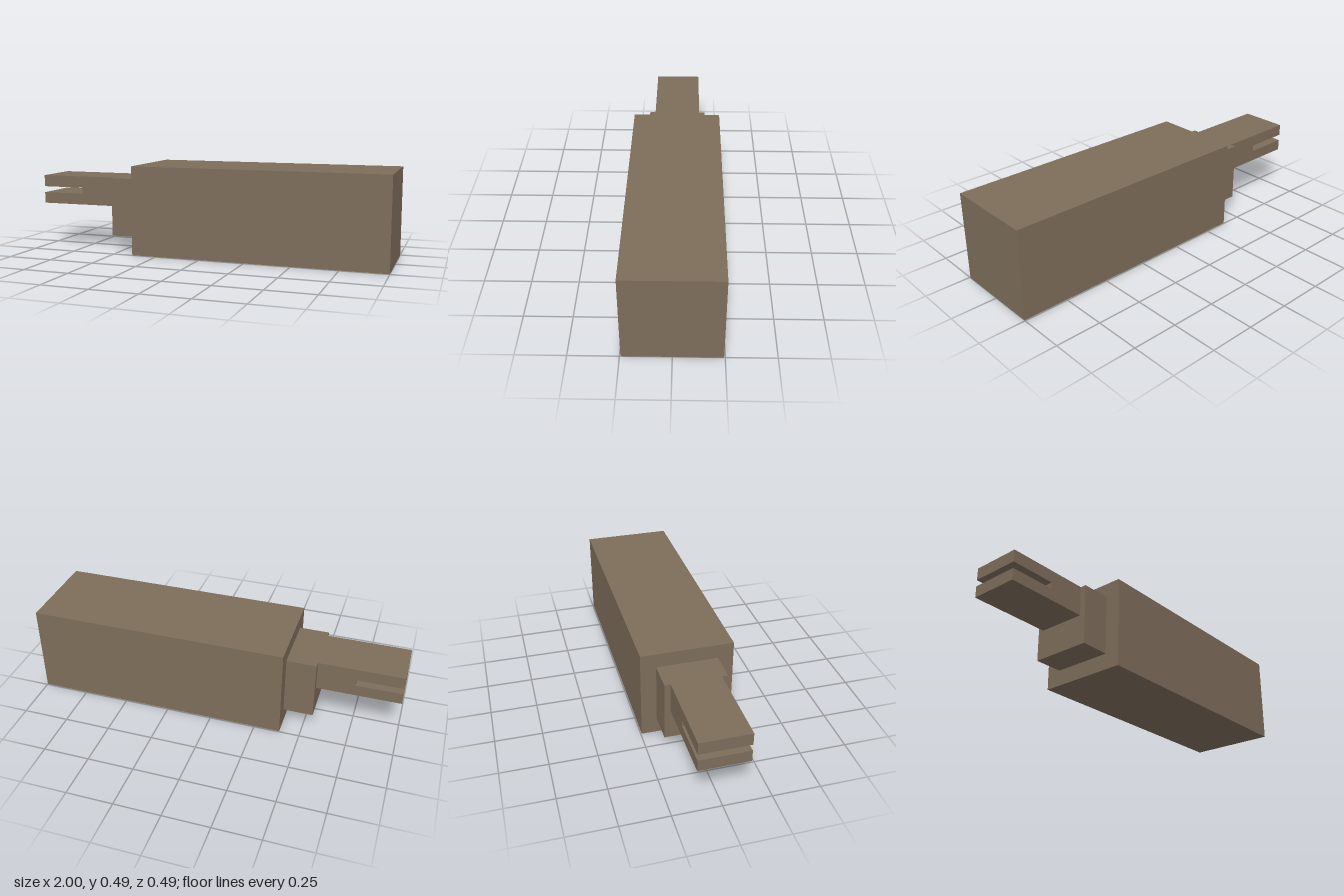
import * as THREE from 'three';

export function createModel() {
  const group = new THREE.Group();
  const brown = new THREE.MeshStandardMaterial({ color: 0x7d6d5a });
  brown.name = 'taupe brown';

  // Extrudes a side outline (x, y) to a width centred on z = 0
  const block = (name, points, width) => {
    const shape = new THREE.Shape(points.map(([x, y]) => new THREE.Vector2(x, y)));
    const geometry = new THREE.ExtrudeGeometry(shape, { depth: width, bevelEnabled: false });
    geometry.translate(0, 0, -width / 2);
    const mesh = new THREE.Mesh(geometry, brown);
    mesh.name = name;
    group.add(mesh);
  };
  const rect = (x0, x1, y0, y1) => [[x0, y0], [x1, y0], [x1, y1], [x0, y1]];

  // Main square block
  block('body', rect(-0.39, 1, 0, 0.49), 0.49);

  // Stepped collar at the narrow end
  block('collar', rect(-0.55, -0.39, 0.087, 0.412), 0.326);

  // Tongue with a horizontal slot cut in from its tip
  block('slottedTongue', [
    [-1, 0.25], [-0.55, 0.25], [-0.55, 0.412], [-1, 0.412],
    [-1, 0.347], [-0.753, 0.347], [-0.753, 0.312], [-1, 0.312],
  ], 0.262);

  return group;
}
